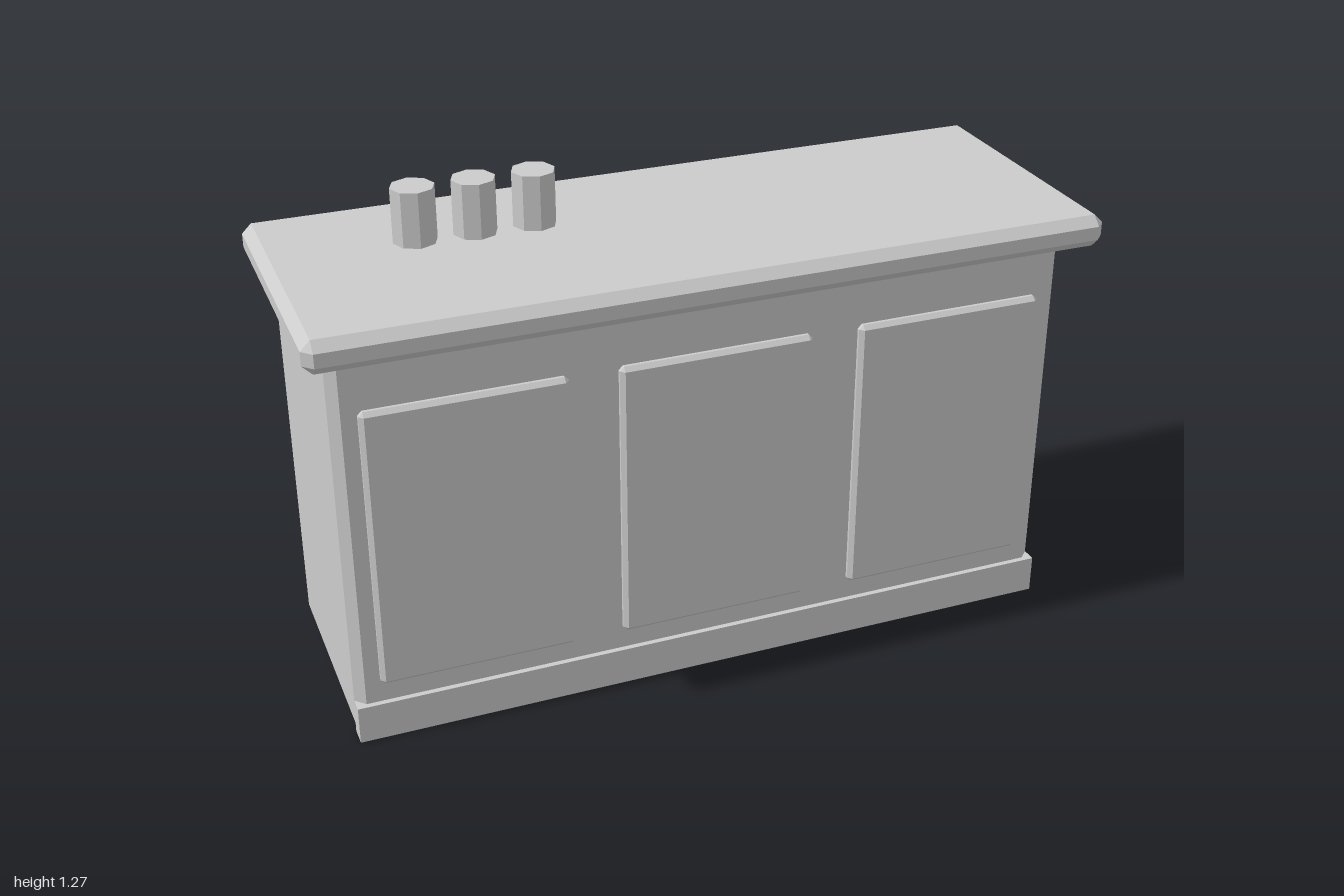
import * as THREE from 'three';
import { ConvexGeometry } from 'three/addons/geometries/ConvexGeometry.js';

const grey = new THREE.MeshStandardMaterial({ color: 0xcccccc, flatShading: true });
grey.name = 'plain grey';

// Box between two corners with every edge chamfered by c
function chamferBox(min, max, c) {
  const centre = min.map((v, i) => (v + max[i]) / 2);
  const half = max.map((v, i) => (v - min[i]) / 2);
  const points = [];
  for (const sx of [-1, 1]) for (const sy of [-1, 1]) for (const sz of [-1, 1]) {
    const signs = [sx, sy, sz];
    for (let axis = 0; axis < 3; axis++) {
      points.push(new THREE.Vector3(...signs.map((s, i) =>
        centre[i] + s * (half[i] - (i === axis ? 0 : c)))));
    }
  }
  return new ConvexGeometry(points);
}

export function createModel() {
  const model = new THREE.Group();
  model.name = 'counter';

  function add(name, geometry, x = 0, y = 0, z = 0) {
    const mesh = new THREE.Mesh(geometry, grey);
    mesh.name = name;
    mesh.position.set(x, y, z);
    model.add(mesh);
  }

  // Cabinet and overhanging top
  add('cabinet', chamferBox([-0.938, 0, -0.346], [0.938, 1.048, 0.275], 0.025));
  add('counterTop', chamferBox([-1, 1.047, -0.374], [1, 1.13, 0.374], 0.024));

  // Skirting along the front foot
  add('skirting', new THREE.BoxGeometry(1.876, 0.1, 0.05), 0, 0.05, 0.264);

  // Three raised front panels
  for (const x of [-0.625, 0, 0.625]) {
    add('frontPanel', chamferBox([-0.25, 0.155, 0.255], [0.25, 0.9, 0.294], 0.011), x);
  }

  // Three eight-sided cups in a row
  for (const x of [-0.628, -0.479, -0.329]) {
    add('cup', new THREE.CylinderGeometry(0.055, 0.055, 0.14, 8), x, 1.2, -0.1);
  }

  return model;
}
